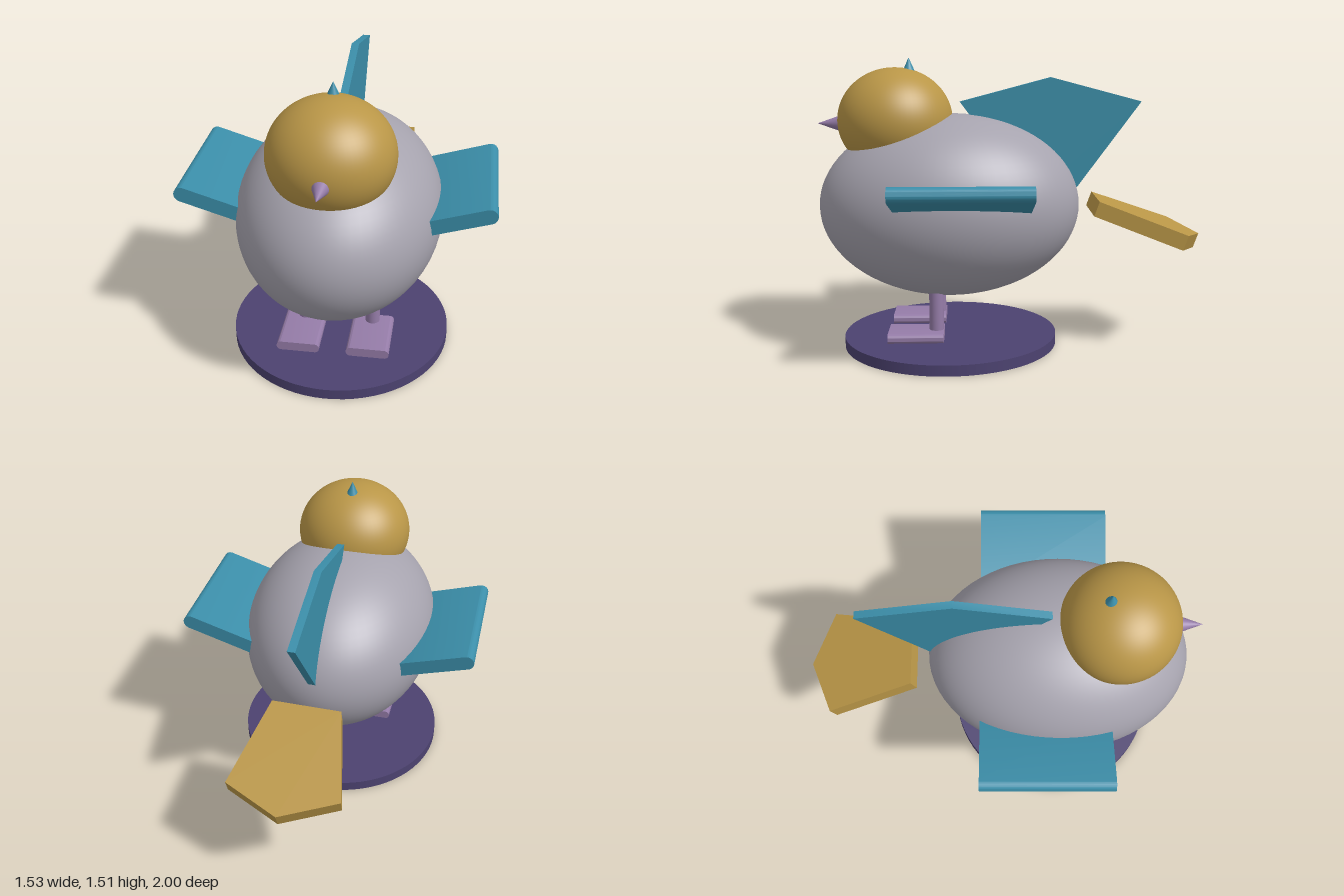
import * as THREE from 'three';
import { toCreasedNormals } from 'three/addons/utils/BufferGeometryUtils.js';

function material(name, color) {
  const m = new THREE.MeshStandardMaterial({ color });
  m.name = name;
  return m;
}

// Bar cross-section from x0 to x1, centred on y = 0, with rounded corners
function roundedBar(x0, x1, height, r) {
  const h = height / 2;
  const s = new THREE.Shape();
  s.absarc(x1 - r, h - r, r, 0, Math.PI / 2);
  s.absarc(x0 + r, h - r, r, Math.PI / 2, Math.PI);
  s.absarc(x0 + r, r - h, r, Math.PI, Math.PI * 1.5);
  s.absarc(x1 - r, r - h, r, Math.PI * 1.5, Math.PI * 2);
  return s;
}

function polygon(points) {
  return new THREE.Shape(points.map(([x, y]) => new THREE.Vector2(x, y)));
}

function extrude(shape, depth) {
  const geo = new THREE.ExtrudeGeometry(shape, { depth, bevelEnabled: false, curveSegments: 10 });
  return toCreasedNormals(geo, 0.6);
}

export function createModel() {
  const model = new THREE.Group();
  const grey = material('body grey', 0xa6a3ae);
  const gold = material('gold', 0xb99647);
  const teal = material('teal', 0x3b8ea9);
  const mauve = material('mauve', 0x957ca8);
  const violet = material('dark violet', 0x4c4270);

  function add(name, geo, mat, x, y, z) {
    const mesh = new THREE.Mesh(geo, mat);
    mesh.name = name;
    mesh.position.set(x, y, z);
    model.add(mesh);
    return mesh;
  }

  // Stand
  add('base', new THREE.CylinderGeometry(0.56, 0.56, 0.055, 72), violet, 0, 0.0275, 0.325);

  // Body and head
  const ball = new THREE.SphereGeometry(1, 64, 40);
  add('body', ball, grey, 0, 0.745, 0.322).scale.set(0.507, 0.475, 0.676);
  add('head', ball, gold, 0, 1.185, 0.6).scale.set(0.3, 0.271, 0.296);

  // Beak and crest
  const beak = add('beak', new THREE.ConeGeometry(0.042, 0.12, 32), mauve, 0, 1.17, 0.94);
  beak.rotation.x = Math.PI / 2;
  add('crest', new THREE.ConeGeometry(0.031, 0.07, 32), teal, 0, 1.471, 0.527);

  // Paired wings, legs and feet
  const wingGeo = extrude(roundedBar(-0.45, 0.038, 0.076, 0.0375), 0.665);
  const legGeo = new THREE.CylinderGeometry(0.037, 0.037, 0.3, 32);
  const footGeo = extrude(roundedBar(-0.108, 0.108, 0.049, 0.023), 0.284);
  for (const [side, s] of [['left', 1], ['right', -1]]) {
    const wing = add(side + 'Wing', wingGeo, teal, s * 0.725, 0.904, -0.083);
    wing.rotation.z = s > 0 ? 0.304 : Math.PI - 0.304;
    add(side + 'Leg', legGeo, mauve, s * 0.175, 0.25, 0.393);
    add(side + 'Foot', footGeo, mauve, s * 0.176, 0.094, 0.354);
  }

  // Upright back fin, drawn with x pointing backwards
  const finShape = polygon([[0.104, 0.78], [0.304, 0.78], [0.675, 1.28], [0.204, 1.405], [-0.267, 1.28]]);
  const fin = add('backFin', extrude(finShape, 0.038), teal, -0.019, 0, 0);
  fin.rotation.y = Math.PI / 2;

  // Tail plate sloping down to a point behind the body
  const tailShape = polygon([[-0.175, 0], [0.175, 0], [0.278, 0.467], [0, 0.591], [-0.278, 0.467]]);
  const tail = add('tail', extrude(tailShape, 0.08), gold, 0, 0.704, -0.417);
  tail.rotation.x = -THREE.MathUtils.degToRad(110);

  return model;
}
